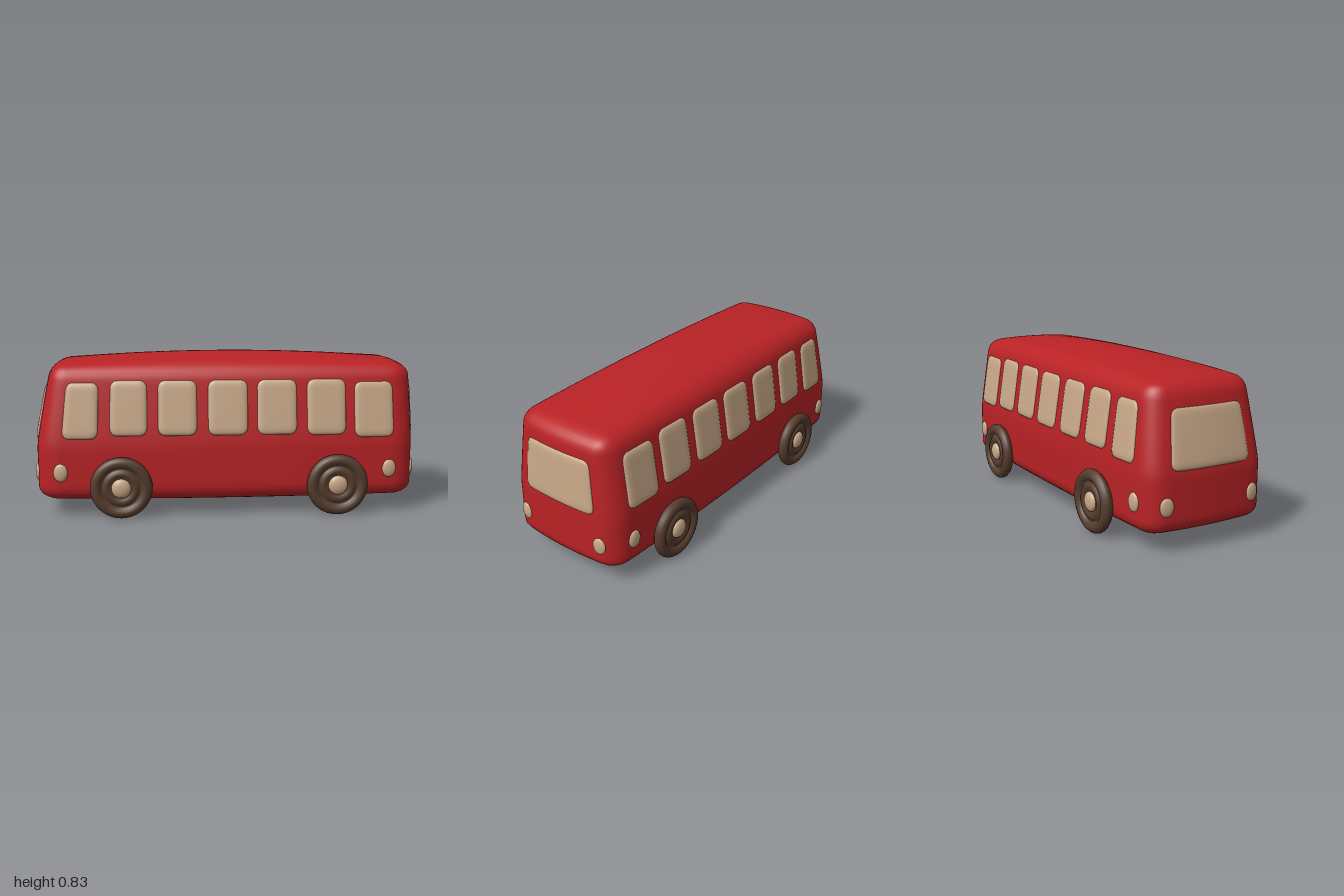
import * as THREE from 'three';
import { mergeVertices } from 'three/addons/utils/BufferGeometryUtils.js';

const LENGTH = 1, WIDTH = 0.36, BOTTOM = 0.085, TOP = 0.78;
const MID = (BOTTOM + TOP) / 2, HALF_H = (TOP - BOTTOM) / 2;

// Bends the straight box space into the bus form: tapered sides, raked ends, domed roof.
function bend(p) {
  const u = p.x / LENGTH, w = p.z / WIDTH, v = (p.y - MID) / HALF_H;
  const s = Math.max(0, p.y - 0.35);
  const lean = (s * s) / (s + 0.05);
  const rake = p.x < 0 ? 0.2 : 0.05;
  const dome = Math.max(0, 1 - u * u) * Math.max(0, 1 - w * w);
  p.x *= (1 - rake * lean * u ** 4) * (1 - 0.03 * w * w * u * u);
  p.z *= (1 - 0.45 * lean) * (1 - 0.06 * u * u);
  p.y += dome * v * v * (v > 0 ? 0.05 : -0.02);
  return p;
}

// Box with elliptical rounded edges, placed at a centre and then bent.
function softBox(centre, half, radii, segs) {
  const geo = new THREE.BoxGeometry(2 * half[0], 2 * half[1], 2 * half[2], ...segs);
  const pos = geo.attributes.position;
  const p = new THREE.Vector3(), r = new THREE.Vector3(...radii), c = new THREE.Vector3(...centre);
  const limit = new THREE.Vector3(...half).sub(r);
  const inner = new THREE.Vector3(), low = limit.clone().negate();
  for (let i = 0; i < pos.count; i++) {
    p.fromBufferAttribute(pos, i);
    inner.copy(p).clamp(low, limit);
    p.sub(inner).divide(r).normalize().multiply(r).add(inner).add(c);
    bend(p);
    pos.setXYZ(i, p.x, p.y, p.z);
  }
  geo.deleteAttribute('uv');
  geo.deleteAttribute('normal');
  const smooth = mergeVertices(geo, 1e-5);
  smooth.computeVertexNormals();
  return smooth;
}

export function createModel() {
  const bus = new THREE.Group();
  bus.name = 'bus';
  const paint = (name, color) => {
    const m = new THREE.MeshStandardMaterial({ color });
    m.name = name;
    return m;
  };
  const red = paint('red', 0xb92225);
  const beige = paint('beige', 0xc8a888);
  const brown = paint('brown', 0x553c2d);
  const add = (name, geo, mat, parent = bus) => {
    const mesh = new THREE.Mesh(geo, mat);
    mesh.name = name;
    parent.add(mesh);
    return mesh;
  };

  // Body shell
  add('body', softBox([0, MID, 0], [LENGTH, HALF_H, WIDTH], [0.11, 0.065, 0.1], [64, 28, 28]), red);

  // Side windows: centre x, half width, bottom, top
  const windows = [
    [-0.775, 0.098, 0.41, 0.695], [-0.515, 0.098, 0.425, 0.705], [-0.26, 0.1, 0.425, 0.705],
    [0, 0.102, 0.425, 0.705], [0.255, 0.103, 0.425, 0.705], [0.517, 0.104, 0.42, 0.705],
    [0.78, 0.11, 0.405, 0.69],
  ];
  for (const side of [-1, 1]) {
    for (const [x, hw, y0, y1] of windows) {
      add('sideWindow', softBox([x, (y0 + y1) / 2, side * WIDTH],
        [hw, (y1 - y0) / 2, 0.014], [0.04, 0.04, 0.014], [18, 22, 4]), beige);
    }
    // Windscreen at each end
    add('endWindow', softBox([side * LENGTH, 0.53, 0],
      [0.012, 0.14, 0.238], [0.012, 0.04, 0.04], [4, 22, 32]), beige);

    // Lamps on the sides and ends
    for (const end of [-1, 1]) {
      const x = end < 0 ? -0.88 : 0.865;
      add('sideLamp', softBox([x, 0.237, side * WIDTH],
        [0.039, 0.047, 0.016], [0.039, 0.047, 0.016], [12, 12, 6]), beige);
      add('endLamp', softBox([end * LENGTH, 0.228, side * 0.26],
        [0.014, 0.045, 0.037], [0.014, 0.045, 0.037], [6, 12, 12]), beige);
    }
  }

  // Wheels: turned tyre and rim with a domed hub
  const profile = [
    [0, -0.03], [0.12, -0.031], [0.145, -0.025], [0.157, -0.012], [0.16, 0], [0.157, 0.012],
    [0.147, 0.024], [0.132, 0.03], [0.116, 0.027], [0.105, 0.017], [0.1, 0.01], [0.094, 0.015],
    [0.084, 0.023], [0.072, 0.025], [0.06, 0.02], [0.05, 0.015], [0, 0.015],
  ].map(([r, h]) => new THREE.Vector2(r, h));
  const tyreGeo = new THREE.LatheGeometry(profile, 40).rotateX(Math.PI / 2);
  const hubGeo = new THREE.SphereGeometry(0.05, 24, 14).scale(1, 1, 0.45);
  for (const side of [-1, 1]) {
    for (const x of [-0.55, 0.568]) {
      const wheel = new THREE.Group();
      wheel.name = 'wheel';
      add('tyre', tyreGeo, brown, wheel);
      add('hub', hubGeo, beige, wheel).position.z = 0.015;
      wheel.position.set(x, 0.162, side * 0.377);
      if (side < 0) wheel.rotation.y = Math.PI;
      bus.add(wheel);
    }
  }
  return bus;
}
